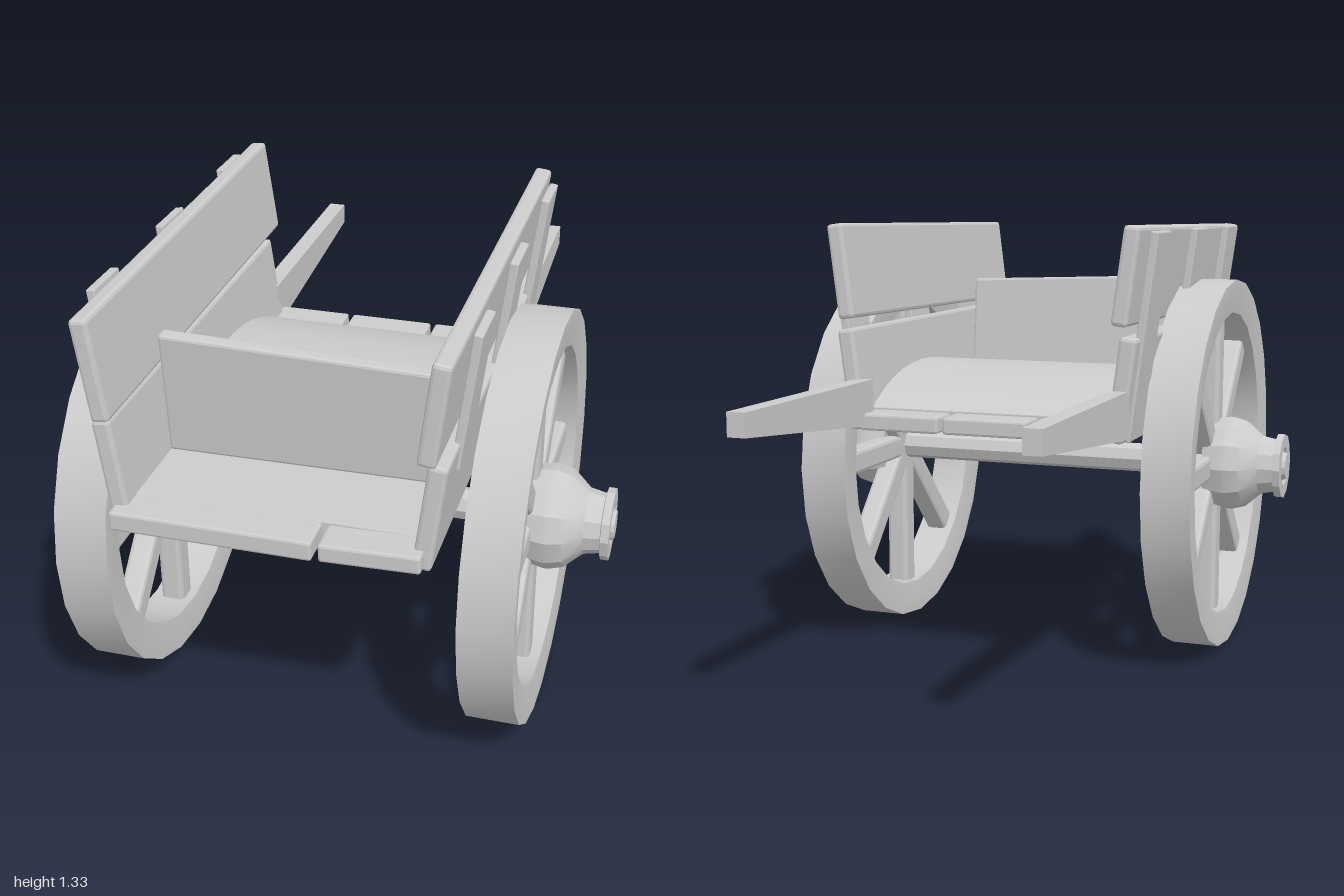
import * as THREE from 'three';
import { toCreasedNormals } from 'three/addons/utils/BufferGeometryUtils.js';
import { RoundedBoxGeometry } from 'three/addons/geometries/RoundedBoxGeometry.js';

const flat = new THREE.MeshStandardMaterial({ color: 0xcccccc, flatShading: true });
const smooth = new THREE.MeshStandardMaterial({ color: 0xcccccc });
const sheet = new THREE.MeshStandardMaterial({ color: 0xcccccc, side: THREE.DoubleSide });

function add(parent, name, geometry, material = flat) {
  const mesh = new THREE.Mesh(geometry, material);
  mesh.name = name;
  parent.add(mesh);
  return mesh;
}

// Chamfered plank given by its extents on each axis
function plank(parent, name, [x0, x1], [y0, y1], [z0, z1], bevel = 0.007) {
  const mesh = add(parent, name, new RoundedBoxGeometry(x1 - x0, y1 - y0, z1 - z0, 1, bevel));
  mesh.position.set((x0 + x1) / 2, (y0 + y1) / 2, (z0 + z1) / 2);
  return mesh;
}

// Turned part around the x axis; profile points are [radius, x]
function turned(parent, name, profile, sides, crease) {
  const points = profile.map(([r, x]) => new THREE.Vector2(r, x));
  const geometry = new THREE.LatheGeometry(points, sides).rotateZ(-Math.PI / 2);
  return add(parent, name, toCreasedNormals(geometry, crease), smooth);
}

// Wheel facing +x, with its axis on x
function makeWheel(name) {
  const wheel = new THREE.Group();
  wheel.name = name;
  turned(wheel, 'rim', [
    [0.475, 0.475], [0.545, 0.465], [0.577, 0.465], [0.577, 0.61],
    [0.545, 0.61], [0.475, 0.6], [0.475, 0.475],
  ], 24, 0.5);
  for (let i = 0; i < 8; i++) {
    const geometry = new RoundedBoxGeometry(0.07, 0.46, 0.075, 1, 0.012).translate(0.535, 0.26, 0);
    add(wheel, 'spoke', geometry).rotation.x = (i * Math.PI) / 4;
  }
  turned(wheel, 'hub', [
    [0, 0.54], [0.135, 0.54], [0.147, 0.6], [0.147, 0.615], [0.136, 0.655],
    [0.092, 0.705], [0.083, 0.75], [0.1, 0.753], [0.1, 0.775], [0.06, 0.775],
    [0.052, 0.768], [0.045, 0.768], [0.04, 0.783], [0, 0.783],
  ], 12, 0.45);
  return wheel;
}

// Side wall hinged at floor height and leaning outward; s is the side it faces
function makeWall(name, s) {
  const wall = new THREE.Group();
  wall.name = name;
  plank(wall, 'lowerSideBoard', [0, 0.05], [0, 0.297], [-0.28, 0.96], 0.01);
  const upper = plank(wall, 'upperSideBoard', [-0.023, 0.025], [0.32, 0.595], [-0.31, 1.0], 0.01);
  upper.rotation.x = 0.012;
  // The front batten stops above the floor
  for (const [z, bottom] of [[-0.155, 0], [0.31, 0], [0.75, 0.22]]) {
    plank(wall, 'sideBatten', [0.034, 0.058], [bottom, 0.592], [z - 0.075, z + 0.075], 0.004);
  }
  for (const part of wall.children) part.position.x *= s;
  wall.position.set(0.367 * s, 0.733, 0);
  wall.rotation.z = -0.13 * s;
  return wall;
}

// Tapered pull shaft, flat on top
function makeShaft(parent, name, x) {
  const side = new THREE.Shape([
    new THREE.Vector2(0.25, 0.745), new THREE.Vector2(0.31, 0.745),
    new THREE.Vector2(1, 0.812), new THREE.Vector2(1, 0.877), new THREE.Vector2(0.25, 0.877),
  ]);
  const geometry = new THREE.ExtrudeGeometry(side, { depth: 0.052, bevelEnabled: false });
  geometry.translate(0, 0, -0.026).rotateY(Math.PI / 2);
  add(parent, name, geometry).position.x = x;
}

export function createModel() {
  const cart = new THREE.Group();
  cart.name = 'handCart';

  // Running gear
  const gear = new THREE.Group();
  gear.name = 'runningGear';
  gear.position.set(0, 0.578, 0.39);
  const axle = new THREE.CylinderGeometry(0.046, 0.046, 1.1, 8).rotateZ(Math.PI / 2);
  add(gear, 'axle', axle);
  const leftWheel = makeWheel('leftWheel');
  const rightWheel = makeWheel('rightWheel');
  rightWheel.rotation.y = Math.PI;
  gear.add(leftWheel, rightWheel);
  cart.add(gear);

  // Body, set slightly off the centre line
  const body = new THREE.Group();
  body.name = 'body';
  body.position.x = -0.02;
  cart.add(body);

  // Floor with separate board ends
  plank(body, 'floor', [-0.385, 0.385], [0.733, 0.79], [-0.21, 0.9], 0.004);
  for (const [x0, x1] of [[-0.385, -0.16], [-0.145, 0.11], [0.125, 0.37]]) {
    plank(body, 'rearBoardEnd', [x0, x1], [0.733, 0.782], [-0.312, -0.2]);
  }
  plank(body, 'frontBoardEnd', [-0.41, 0.125], [0.733, 0.787], [0.885, 1.0]);
  plank(body, 'frontBoardEnd', [0.14, 0.4], [0.736, 0.785], [0.885, 0.995]).rotation.z = 0.03;

  // Gently arched sheet over the floor
  const rise = 0.105, halfSpan = 0.415;
  const radius = (halfSpan ** 2 + rise ** 2) / (2 * rise);
  const halfAngle = Math.asin(halfSpan / radius);
  const arch = new THREE.CylinderGeometry(
    radius, radius, 0.77, 20, 1, true, Math.PI / 2 - halfAngle, 2 * halfAngle);
  const bed = add(body, 'archedBed', arch.rotateZ(Math.PI / 2), sheet);
  bed.position.set(0, 0.788 + rise - radius, 0.205);

  // Front board, tipped forward and lower towards the left
  const frontBoard = new RoundedBoxGeometry(0.755, 0.355, 0.042, 1, 0.008);
  const p = frontBoard.attributes.position;
  for (let i = 0; i < p.count; i++) {
    if (p.getY(i) > 0) p.setY(i, p.getY(i) - 0.025 * (p.getX(i) / 0.755 + 0.5));
  }
  const board = add(body, 'frontBoard', frontBoard);
  board.position.set(0.004, 0.974, 0.665);
  board.rotation.set(0.09, 0.015, 0);

  // Side walls
  body.add(makeWall('leftSide', 1), makeWall('rightSide', -1));

  // Pull shafts
  makeShaft(cart, 'leftShaft', 0.36);
  makeShaft(cart, 'rightShaft', -0.425);

  return cart;
}
